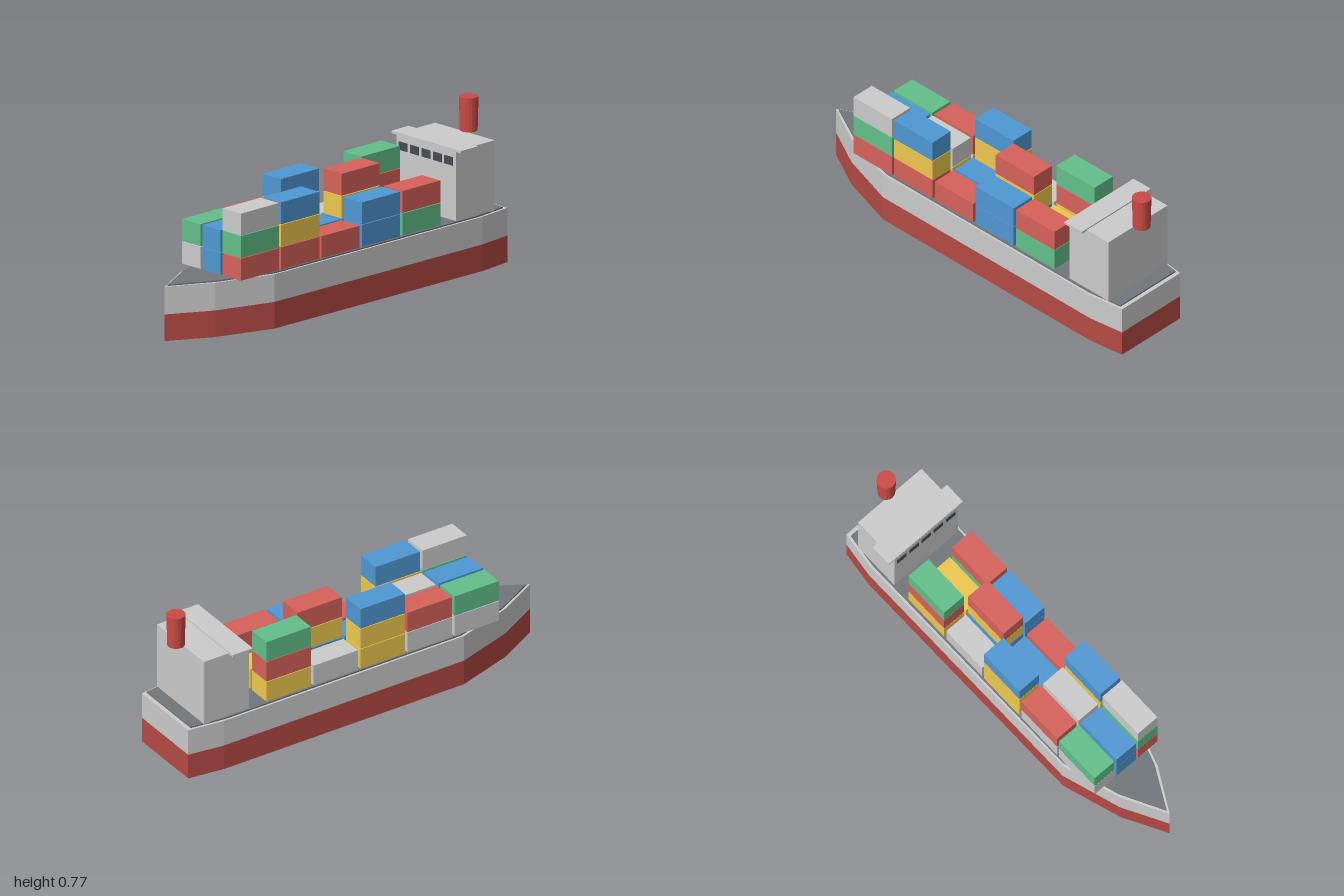
import * as THREE from 'three';

const mat = (color) => new THREE.MeshStandardMaterial({ color, flatShading: true });
const GREY = mat(0xcccccc);
const HULL_RED = mat(0xb54a44);
const DECK = mat(0x70767b);
const GLASS = mat(0x444c55);
const FUNNEL = mat(0xcc4a46);
const PAINT = {
  R: mat(0xd6625a), G: mat(0x62c08a), B: mat(0x4f98d4), Y: mat(0xeec84e), W: GREY,
};

// Half outline of the hull in plan, [x, z] from bow to stern
const OUTLINE = [[0, 1], [0.115, 0.79], [0.208, 0.5], [0.215, -0.82], [0.192, -1]];

// Vertical-sided slab with the hull's plan shape
function hullSlab(name, material, y0, y1, sx = 1, sz = 1) {
  const port = OUTLINE.map(([x, z]) => new THREE.Vector2(x * sx, -z * sz));
  const starboard = OUTLINE.slice(1).reverse().map(([x, z]) => new THREE.Vector2(-x * sx, -z * sz));
  const geometry = new THREE.ExtrudeGeometry(new THREE.Shape([...port, ...starboard]), {
    depth: y1 - y0, bevelEnabled: false,
  });
  geometry.rotateX(-Math.PI / 2);
  const mesh = new THREE.Mesh(geometry, material);
  mesh.name = name;
  mesh.position.y = y0;
  return mesh;
}

function box(name, material, size, position) {
  const mesh = new THREE.Mesh(new THREE.BoxGeometry(...size), material);
  mesh.name = name;
  mesh.position.set(...position);
  return mesh;
}

// Rows from bow to stern; in each row the stacks run from -x to +x, letters from bottom up
const CARGO = [
  ['WG', 'BB', 'RGW'],
  ['WR', 'YW', 'RYB'],
  ['YYB', 'B', 'R'],
  ['W', 'BYR', 'BB'],
  ['YRG', 'Y', 'GR'],
];

export function createModel() {
  const ship = new THREE.Group();
  ship.name = 'containerShip';

  // Hull and deck
  ship.add(hullSlab('lowerHull', HULL_RED, 0, 0.127));
  ship.add(hullSlab('upperHull', GREY, 0.127, 0.259));
  ship.add(hullSlab('deck', DECK, 0.259, 0.266, 0.95, 0.98));

  // Container stacks
  const cargo = new THREE.Group();
  cargo.name = 'containers';
  CARGO.forEach((row, r) => row.forEach((stack, c) => [...stack].forEach((paint, level) => {
    cargo.add(box('container', PAINT[paint], [0.12, 0.105, 0.243],
      [(c - 1) * 0.133, 0.319 + level * 0.108, 0.58 - r * 0.2575]));
  })));
  ship.add(cargo);

  // Deckhouse with bridge wing and front windows
  const house = new THREE.Group();
  house.name = 'superstructure';
  house.add(box('deckhouse', GREY, [0.39, 0.336, 0.248], [0, 0.432, -0.792]));
  house.add(box('bridgeWing', GREY, [0.456, 0.012, 0.11], [0, 0.601, -0.724]));
  for (let i = -2; i <= 2; i++) {
    house.add(box('bridgeWindow', GLASS, [0.056, 0.04, 0.006], [i * 0.075, 0.547, -0.668]));
  }
  ship.add(house);

  // Funnel
  const funnel = new THREE.Mesh(
    new THREE.CylinderGeometry(0.045, 0.041, 0.163, 16),
    FUNNEL,
  );
  funnel.name = 'funnel';
  funnel.position.set(0, 0.684, -0.94);
  ship.add(funnel);

  return ship;
}
